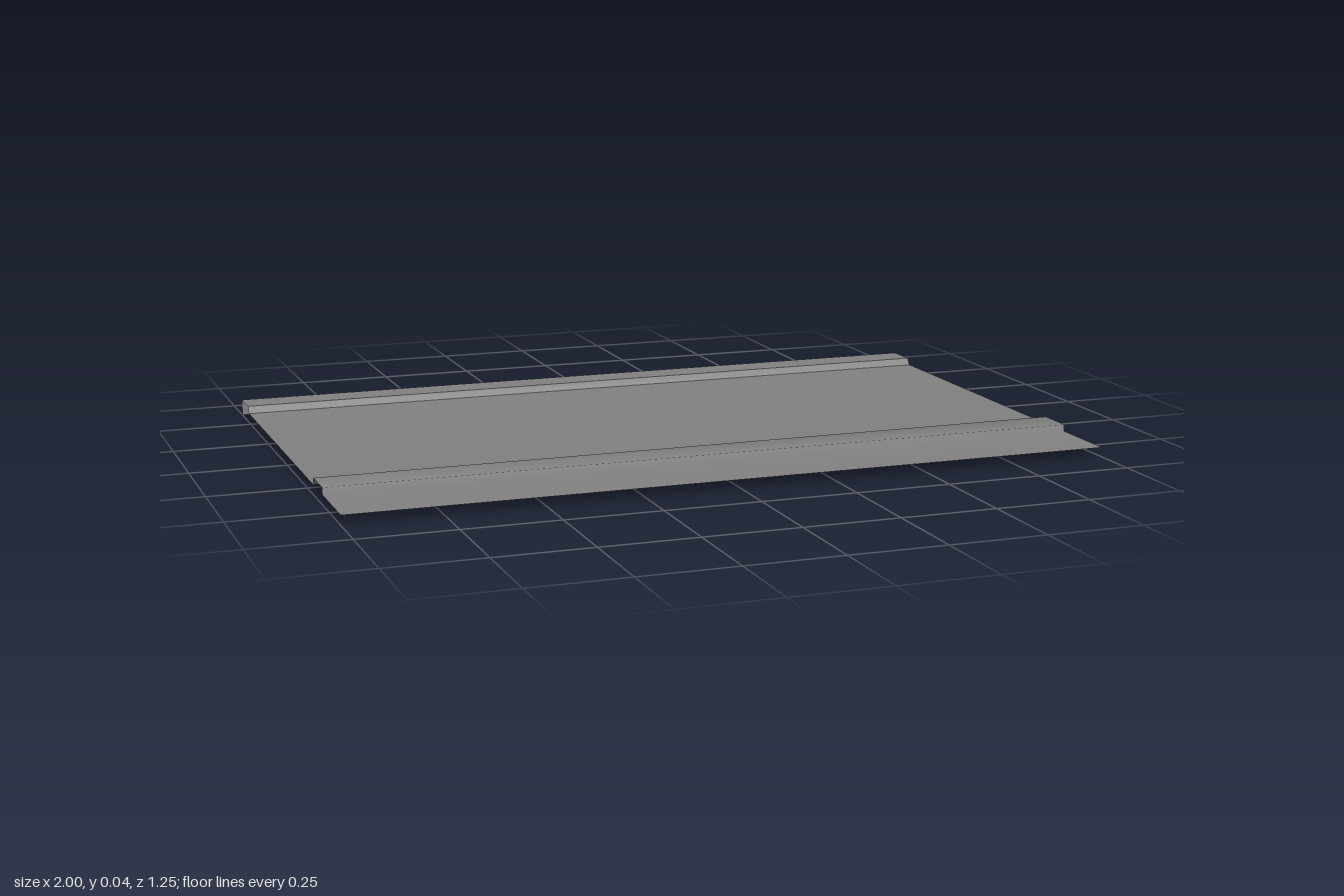
import * as THREE from 'three';

const material = new THREE.MeshStandardMaterial({ color: 0x808080, side: THREE.DoubleSide });

// Sheet running the full width through [z, y] points (back to front); folds inside it are shaded smooth
function sheet(name, points) {
  const positions = [], indices = [];
  points.forEach(([z, y], i) => {
    positions.push(-1, y, z, 1, y, z);
    if (i > 0) {
      const a = 2 * (i - 1);
      indices.push(a, a + 2, a + 3, a, a + 3, a + 1);
    }
  });
  const geometry = new THREE.BufferGeometry();
  geometry.setAttribute('position', new THREE.Float32BufferAttribute(positions, 3));
  geometry.setIndex(indices);
  geometry.computeVertexNormals();
  const mesh = new THREE.Mesh(geometry, material);
  mesh.name = name;
  return mesh;
}

export function createModel() {
  const group = new THREE.Group();
  group.name = 'foldedSheetPanel';

  // Rear ridge with sharp folds: hanging lip, flat top, step down to the panel
  group.add(
    sheet('rearLip', [[-0.624, 0], [-0.624, 0.043]]),
    sheet('rearRidgeTop', [[-0.624, 0.043], [-0.535, 0.043]]),
    sheet('rearRidgeStep', [[-0.535, 0.043], [-0.522, 0.025]]),
  );

  // Main panel, raised rib and front flange with soft folds
  group.add(sheet('ribbedPanel', [
    [-0.522, 0.025], [0.321, 0.025], [0.323, 0.043],
    [0.424, 0.043], [0.424, 0.025], [0.624, 0.025],
  ]));
  return group;
}
